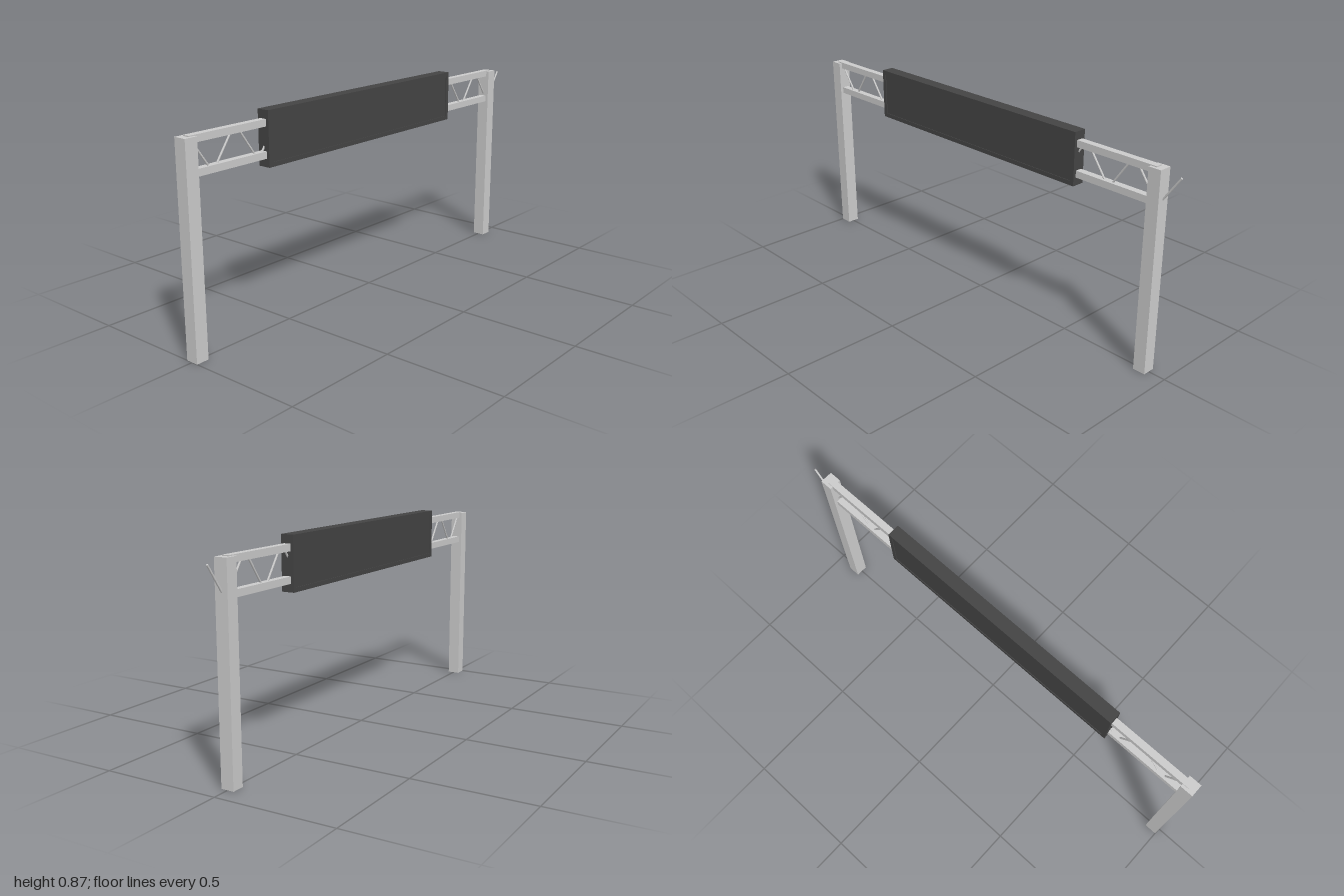
import * as THREE from 'three';

export function createModel() {
  const model = new THREE.Group();
  const steel = new THREE.MeshStandardMaterial({ color: 0xcccccc, flatShading: true });
  const dark = new THREE.MeshStandardMaterial({ color: 0x444444, flatShading: true });

  // Box given by its limits in x, y and its depth, centred on z = 0
  function box(name, x0, x1, y0, y1, depth, material) {
    const mesh = new THREE.Mesh(new THREE.BoxGeometry(x1 - x0, y1 - y0, depth), material);
    mesh.position.set((x0 + x1) / 2, (y0 + y1) / 2, 0);
    mesh.name = name;
    model.add(mesh);
  }

  // Thin round bar between two points in the z = 0 plane
  function rod(name, x0, y0, x1, y1) {
    const a = new THREE.Vector3(x0, y0, 0);
    const d = new THREE.Vector3(x1, y1, 0).sub(a);
    const mesh = new THREE.Mesh(new THREE.CylinderGeometry(0.004, 0.004, d.length(), 8), steel);
    mesh.position.copy(a).addScaledVector(d, 0.5);
    mesh.quaternion.setFromUnitVectors(new THREE.Vector3(0, 1, 0), d.normalize());
    mesh.name = name;
    model.add(mesh);
  }

  // Posts
  box('rightPost', -1, -0.946, 0, 0.829, 0.054, steel);
  box('leftPost', 0.874, 0.927, 0, 0.829, 0.054, steel);

  // Truss chords
  box('upperChord', -0.973, 0.9, 0.805, 0.833, 0.029, steel);
  box('lowerChord', -0.973, 0.9, 0.683, 0.711, 0.029, steel);

  // Zigzag bracing; the last bar runs out past the left post
  const pitch = 0.2206;
  for (let i = 0; i < 9; i++) {
    const x = -0.952 + i * pitch;
    rod('fallingBrace', x, 0.812, x + 0.073, 0.708);
    rod('risingBrace', x + 0.11, 0.708, x + 0.183, 0.812);
  }

  // Sign board: outer frame around a slightly recessed panel
  const [x0, x1, y0, y1] = [-0.61, 0.537, 0.65, 0.867];
  const rim = 0.018;
  const rect = (shape, m) => shape
    .moveTo(x0 + m, y0 + m).lineTo(x1 - m, y0 + m)
    .lineTo(x1 - m, y1 - m).lineTo(x0 + m, y1 - m).closePath();
  const outline = new THREE.Shape();
  rect(outline, 0);
  const opening = new THREE.Path();
  rect(opening, rim);
  outline.holes.push(opening);
  const frameGeometry = new THREE.ExtrudeGeometry(outline, { depth: 0.054, bevelEnabled: false });
  frameGeometry.translate(0, 0, -0.027);
  const frame = new THREE.Mesh(frameGeometry, dark);
  frame.name = 'boardFrame';
  model.add(frame);
  box('boardPanel', x0 + rim, x1 - rim, y0 + rim, y1 - rim, 0.048, dark);

  return model;
}
